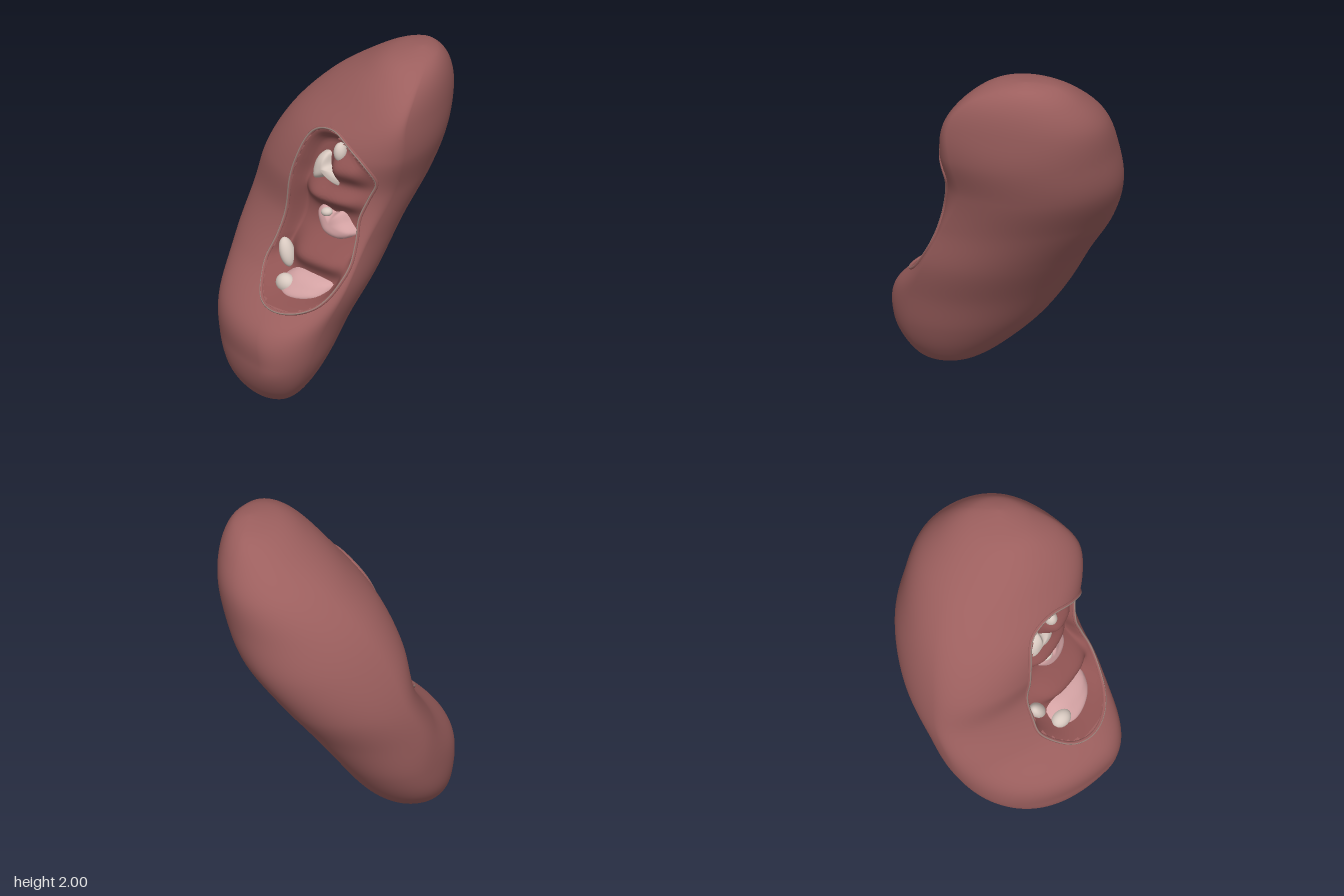
import * as THREE from 'three';

// Body sections at 13 heights, y = 1 - cos(angle), angle in 15 degree steps.
// Extreme positions on each side, then where along the other axis each extreme lies.
const TABLES = {
  left: [-.05, -.2, -.37, -.495, -.555, -.58, -.57, -.51, -.40, -.235, -.03, .15, .33],
  right: [-.05, .12, .225, .305, .36, .415, .43, .475, .56, .577, .54, .45, .33],
  back: [.42, .29, .16, .01, -.14, -.305, -.49, -.63, -.665, -.67, -.6, -.5, -.36],
  front: [.42, .54, .63, .675, .655, .41, .27, .255, .21, .1, -.02, -.16, -.36],
  leftZ: [.42, .4, .35, .25, .16, .12, .01, -.06, -.16, -.27, -.36, -.37, -.36],
  rightZ: [.42, .46, .48, .47, .42, .29, .14, -.01, -.01, -.01, -.12, -.28, -.36],
  backX: [-.05, -.08, -.15, -.22, -.25, -.21, -.18, -.07, .03, .1, .18, .24, .33],
  frontX: [-.05, 0, .06, .13, .1, .02, .02, .02, .17, .34, .36, .33, .33],
};

// Outline of the opening, counter-clockwise in x, y
const OPENING = [[.19, 1.6], [.03, 1.55], [-.05, 1.36], [-.09, 1.13], [-.12, .89], [-.13, .76], [-.02, .635],
  [.17, .605], [.33, .66], [.40, .84], [.395, 1.0], [.385, 1.13], [.42, 1.26], [.46, 1.37], [.425, 1.47], [.33, 1.55]];

// Rounded folds in the hollow: x, y, half width, half height, rise
const FOLDS = [[.2, .86, .23, .08, .11], [.18, 1.19, .2, .065, .085], [.28, 1.38, .12, .09, .095]];

const red = new THREE.MeshStandardMaterial({ color: 0x9c5f5e });
const innerRed = new THREE.MeshStandardMaterial({ color: 0x8f5352, side: THREE.DoubleSide });
const pink = new THREE.MeshStandardMaterial({ color: 0xd3a2a3, side: THREE.DoubleSide });
const cream = new THREE.MeshStandardMaterial({ color: 0xd8c9c0, side: THREE.DoubleSide });
const rimColor = new THREE.MeshStandardMaterial({ color: 0x9b827b });

function spline(v, u) {
  const i = Math.min(Math.floor(u), v.length - 2), f = u - i;
  const p0 = v[Math.max(i - 1, 0)], p1 = v[i], p2 = v[i + 1], p3 = v[Math.min(i + 2, v.length - 1)];
  const m1 = (p2 - p0) / 2, m2 = (p3 - p1) / 2;
  return p1 + f * m1 + f * f * (3 * (p2 - p1) - 2 * m1 - m2) + f * f * f * (2 * (p1 - p2) + m1 + m2);
}

function section(y) {
  const u = Math.acos(THREE.MathUtils.clamp(1 - y, -1, 1)) / Math.PI * 12;
  const s = {};
  for (const key in TABLES) s[key] = spline(TABLES[key], u);
  return s;
}

// Four quarter-ellipse arcs joining the extremes of a section
function sectionPoint(s, t) {
  const c = Math.cos(t), n = Math.sin(t);
  const cx = n > 0 ? s.frontX : s.backX, cz = c > 0 ? s.rightZ : s.leftZ;
  return [cx + Math.abs(c) * ((c > 0 ? s.right : s.left) - cx), cz + Math.abs(n) * ((n > 0 ? s.front : s.back) - cz)];
}

function frontZ(x, y) {
  const s = section(y), d = x - s.frontX;
  const c = THREE.MathUtils.clamp(d / (d > 0 ? s.right - s.frontX : s.frontX - s.left), -1, 1);
  return sectionPoint(s, Math.acos(c))[1];
}

function inside(x, y, loop) {
  let hit = false;
  for (let i = 0, j = loop.length - 1; i < loop.length; j = i++) {
    const p = loop[i], q = loop[j];
    if ((p.y > y) !== (q.y > y) && x < (q.x - p.x) * (y - p.y) / (q.y - p.y) + p.x) hit = !hit;
  }
  return hit;
}

function geometryFrom(positions, index) {
  const g = new THREE.BufferGeometry();
  g.setAttribute('position', new THREE.Float32BufferAttribute(positions, 3));
  g.setIndex(index);
  g.computeVertexNormals();
  return g;
}

// Outer shell, left open where the hollow sits
function bodyGeometry(loop) {
  const N = 180, M = 160, pos = [], cut = [], idx = [];
  for (let j = 0; j <= M; j++) {
    const y = 1 - Math.cos(Math.PI * j / M), s = section(y);
    for (let i = 0; i < N; i++) {
      const t = i / N * Math.PI * 2;
      const [x, z] = sectionPoint(s, t);
      pos.push(x, y, z);
      cut.push(t < Math.PI && inside(x, y, loop));
    }
  }
  for (let j = 0; j < M; j++) for (let i = 0; i < N; i++) {
    const a = j * N + i, b = j * N + (i + 1) % N, c = a + N, d = b + N;
    for (const tri of [[a, c, b], [b, c, d]]) if (!tri.every(k => cut[k])) idx.push(...tri);
  }
  return geometryFrom(pos, idx);
}

// Fills a loop with rings around a centre; depthAt(x, y, r) sinks it below the body surface
function fillGeometry(loop, cx, cy, rings, depthAt) {
  const n = loop.length, pos = [], idx = [];
  for (let k = 0; k <= rings; k++) for (const p of loop) {
    const r = k / rings, x = cx + (p.x - cx) * r, y = cy + (p.y - cy) * r;
    pos.push(x, y, frontZ(x, y) - depthAt(x, y, r));
  }
  for (let k = 0; k < rings; k++) for (let i = 0; i < n; i++) {
    const a = k * n + i, b = k * n + (i + 1) % n, c = a + n, d = b + n;
    idx.push(a, c, d, a, d, b);
  }
  return geometryFrom(pos, idx);
}

function hollowDepth(x, y, r) {
  let depth = .115;
  for (const [fx, fy, w, h, rise] of FOLDS) {
    depth -= rise * Math.exp(-(((x - fx) / w) ** 4) - ((y - fy) / h) ** 2);
  }
  return depth * THREE.MathUtils.smoothstep(1 - r, 0, .2);
}

function smoothLoop(points, count) {
  return new THREE.CatmullRomCurve3(points.map(([x, y]) => new THREE.Vector3(x, y, 0)), true)
    .getPoints(count).slice(0, -1);
}

// Domed pad with a free outline, lying on the floor of the hollow
function padGeometry(points, cx, cy, height) {
  return fillGeometry(smoothLoop(points, 64), cx, cy, 12,
    (x, y, r) => .125 - height * Math.sqrt(1 - r ** 3));
}

function bulbGeometry(x, y, rx, ry, rz, tilt, depth) {
  const g = new THREE.SphereGeometry(1, 24, 16).scale(rx, ry, rz).rotateZ(tilt);
  return g.translate(x, y, frontZ(x, y) - depth);
}

export function createModel() {
  const group = new THREE.Group();
  const add = (name, geometry, material) => {
    const mesh = new THREE.Mesh(geometry, material);
    mesh.name = name;
    group.add(mesh);
  };

  const loop = smoothLoop(OPENING, 180);
  add('body', bodyGeometry(loop), red);
  add('hollow', fillGeometry(loop, .15, 1.08, 28, hollowDepth), innerRed);

  // Thin lip around the opening with a paler edge line
  const rim = new THREE.CatmullRomCurve3(loop.filter((p, i) => i % 3 === 0)
    .map(p => new THREE.Vector3(p.x, p.y, frontZ(p.x, p.y))), true);
  add('lip', new THREE.TubeGeometry(rim, 180, .01, 8, true), red);
  add('lipEdge', new THREE.TubeGeometry(rim, 180, .005, 6, true).translate(0, 0, .008), rimColor);

  // Pale tissue inside the hollow
  add('upperBulb', bulbGeometry(.21, 1.47, .036, .058, .04, 0, .075), cream);
  add('upperArch', padGeometry([[.02, 1.25], [.02, 1.36], [.06, 1.42], [.11, 1.43], [.13, 1.36], [.2, 1.34],
    [.25, 1.29], [.23, 1.25], [.13, 1.285]], .09, 1.335, .07), cream);
  add('middlePad', padGeometry([[.055, 1.08], [.1, 1.12], [.17, 1.09], [.23, 1.115], [.27, 1.06],
    [.32, 1.0], [.25, .955], [.12, .975]], .18, 1.03, .08), pink);
  add('middleBulb', bulbGeometry(.14, 1.09, .035, .025, .03, .2, .07), cream);
  add('lowerPad', padGeometry([[-.04, .68], [.03, .755], [.16, .765], [.31, .735], [.3, .68],
    [.22, .645], [.05, .635]], .14, .7, .085), pink);
  add('lowerBulb', bulbGeometry(.035, .685, .062, .056, .05, 0, .075), cream);
  add('sideBulb', bulbGeometry(-.055, .81, .04, .085, .045, .35, .065), cream);
  return group;
}
